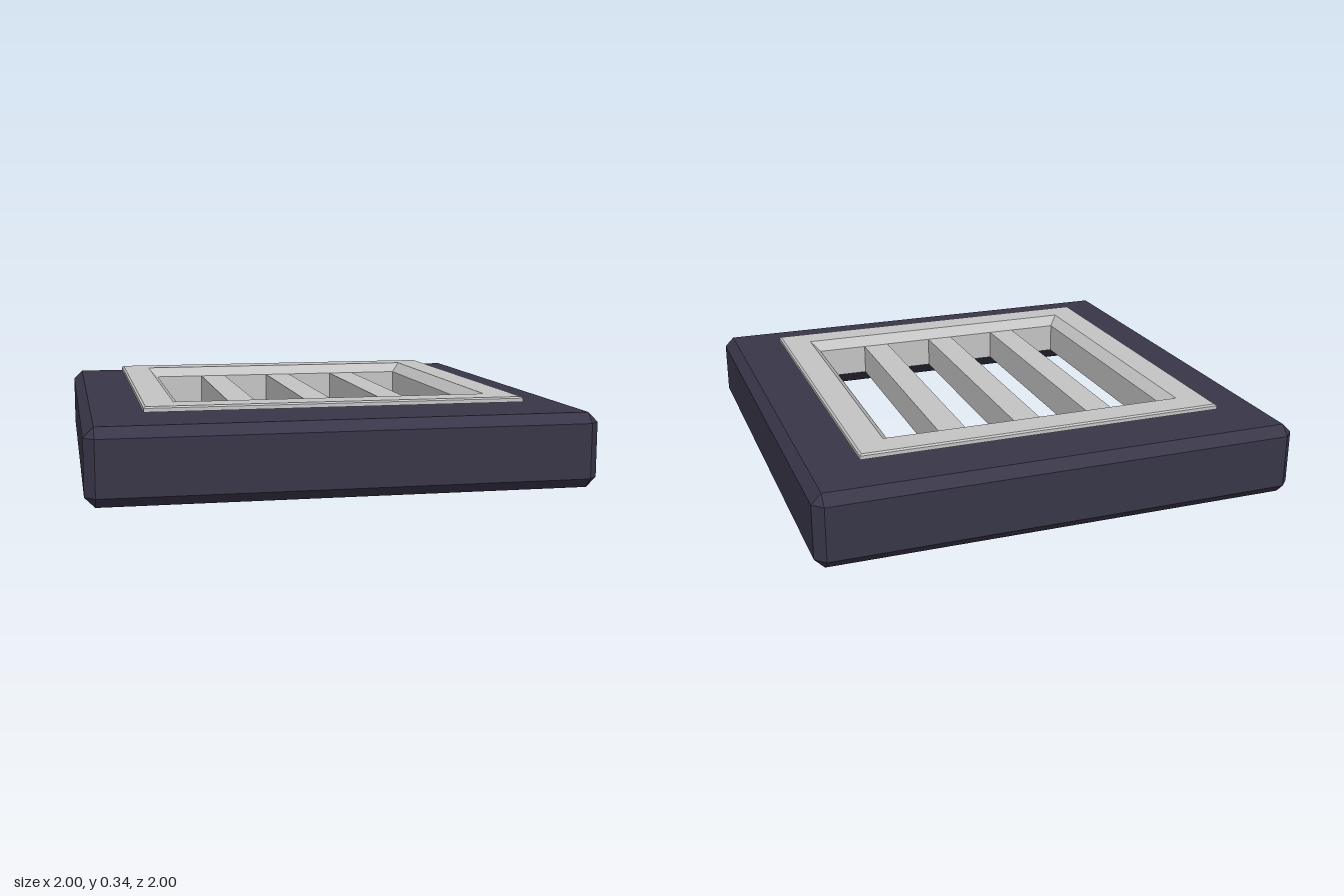
import * as THREE from 'three';

// Square loop of eight points: half size h, corner cut c
function squareRing([y, h, c = 0]) {
  const k = h - c;
  return [[h, -k], [h, k], [k, h], [-k, h], [-h, k], [-h, -k], [-k, -h], [k, -h]]
    .map(([x, z]) => new THREE.Vector3(x, y, z));
}

// Closed square frame: profile runs up the outside, in over the top, down the inside
function squareFrame(profile) {
  const rings = profile.map(squareRing);
  const points = [];
  const addTriangle = (a, b, c) => {
    if (new THREE.Triangle(a, b, c).getArea() > 1e-7) points.push(a, b, c);
  };
  rings.forEach((ring, j) => {
    const next = rings[(j + 1) % rings.length];
    for (let i = 0; i < 8; i++) {
      const n = (i + 1) % 8;
      addTriangle(ring[i], next[i], ring[n]);
      addTriangle(ring[n], next[i], next[n]);
    }
  });
  const geometry = new THREE.BufferGeometry().setFromPoints(points);
  geometry.computeVertexNormals();
  return geometry;
}

export function createModel() {
  const model = new THREE.Group();
  const darkStone = new THREE.MeshStandardMaterial({ name: 'darkStone', color: 0x383648 });
  const paleMetal = new THREE.MeshStandardMaterial({ name: 'paleMetal', color: 0xc4c4c4 });

  const add = (name, geometry, material, parent = model) => {
    const mesh = new THREE.Mesh(geometry, material);
    mesh.name = name;
    parent.add(mesh);
    return mesh;
  };

  // Chamfered block with a central opening and a recessed, sloping underside
  add('baseBlock', squareFrame([
    [0, 0.96], [0.04, 1, 0.04], [0.26, 1, 0.04], [0.3, 0.96],
    [0.3, 0.605], [0.17, 0.605],
  ]), darkStone);

  // Metal collar with a raised lip and bevelled inner edge
  const grate = new THREE.Group();
  grate.name = 'grate';
  model.add(grate);
  add('collar', squareFrame([
    [0.17, 0.604], [0.305, 0.604], [0.32, 0.765], [0.335, 0.765], [0.341, 0.757],
    [0.341, 0.64], [0.3, 0.6], [0.17, 0.6],
  ]), paleMetal, grate);

  // Three deep bars running front to back
  for (let i = -1; i <= 1; i++) {
    const bar = add('bar', new THREE.BoxGeometry(0.115, 0.13, 1.2), paleMetal, grate);
    bar.position.set(i * 0.326, 0.235, 0);
  }

  return model;
}
